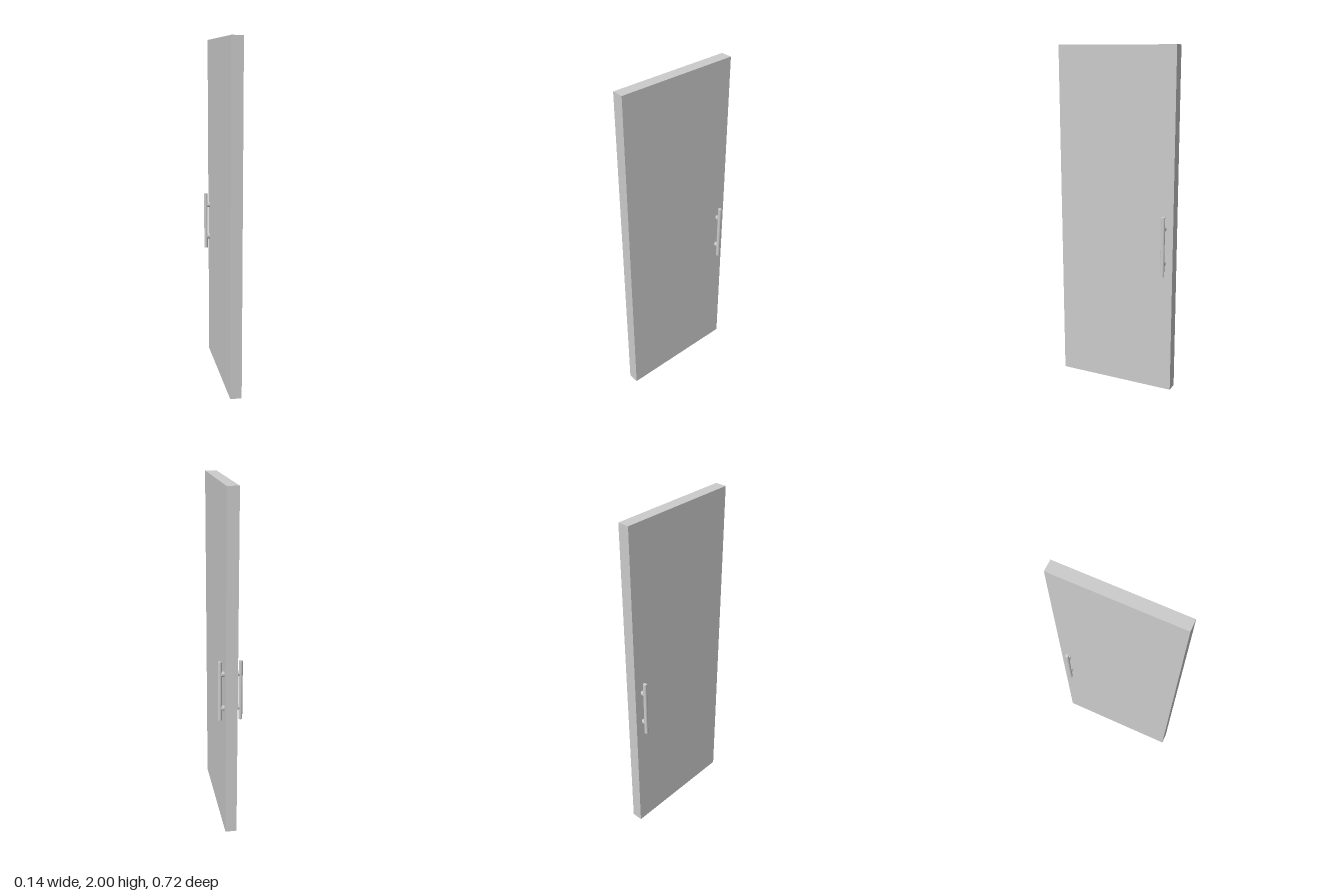
import * as THREE from 'three';

export function createModel() {
  const model = new THREE.Group();
  const material = new THREE.MeshStandardMaterial({ color: 0xcccccc });
  const add = (parent, name, geometry, x, y, z) => {
    const mesh = new THREE.Mesh(geometry, material);
    mesh.name = name;
    mesh.position.set(x, y, z);
    parent.add(mesh);
    return mesh;
  };

  // Door slab
  const halfThickness = 0.033;
  add(model, 'doorPanel', new THREE.BoxGeometry(halfThickness * 2, 2, 0.716), 0, 1, 0);

  // Bar pull handle on each face
  const barX = 0.058, handleY = 0.89, handleZ = -0.307;
  const postLength = barX - halfThickness + 0.002;
  for (const side of [-1, 1]) {
    const handle = new THREE.Group();
    handle.name = side > 0 ? 'leftHandle' : 'rightHandle';
    handle.position.set(0, handleY, handleZ);
    model.add(handle);

    add(handle, 'handleBar', new THREE.CylinderGeometry(0.011, 0.011, 0.35, 32), side * barX, 0, 0);

    // Oval standoff posts, slightly sunk into the panel
    for (const y of [-0.102, 0.102]) {
      const geometry = new THREE.CylinderGeometry(0.0105, 0.0105, postLength, 32)
        .rotateZ(Math.PI / 2).scale(1, 1.45, 1);
      add(handle, 'handlePost', geometry, side * (barX - postLength / 2), y, 0);
    }
  }
  return model;
}
